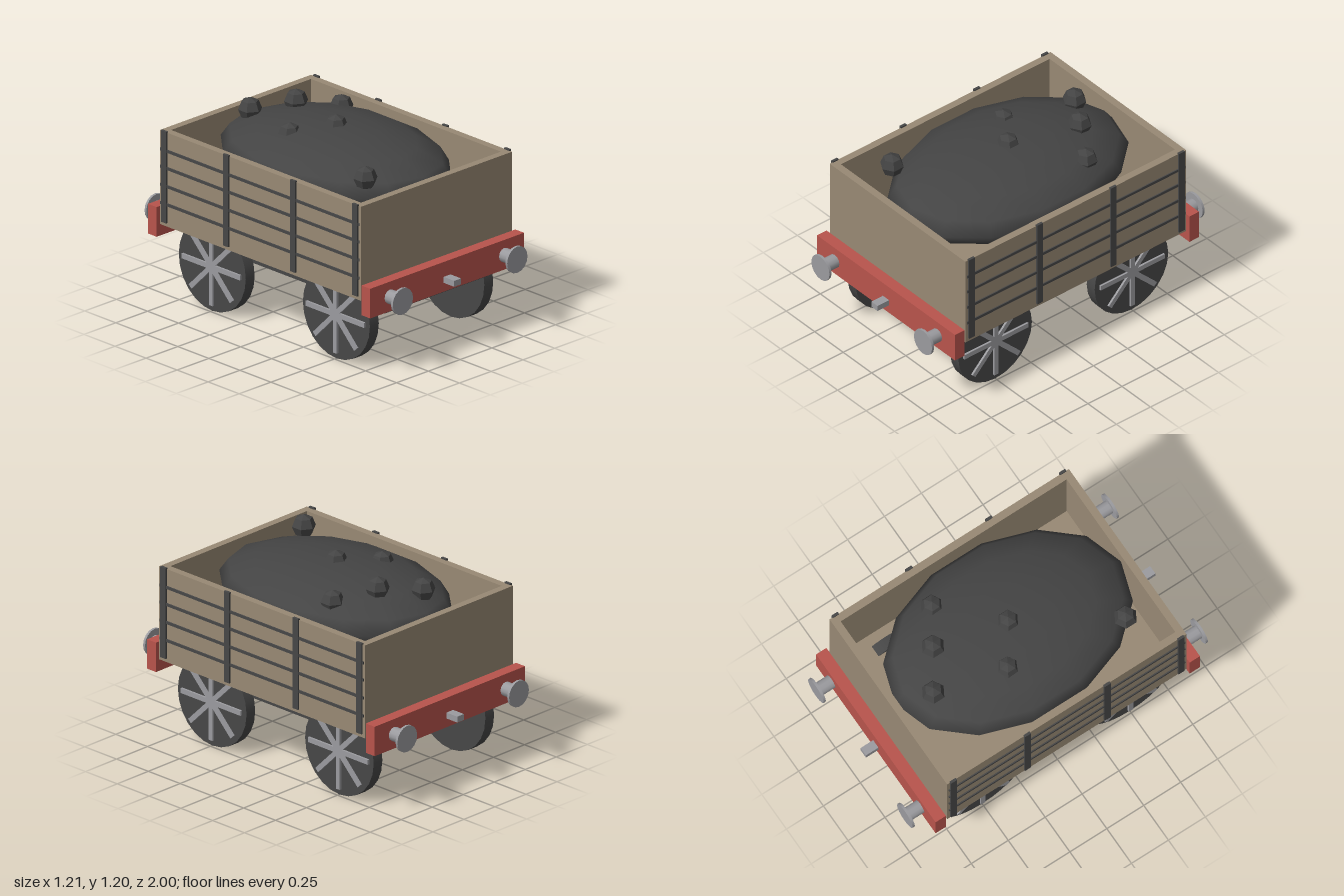
import * as THREE from 'three';

export function createModel() {
  const model = new THREE.Group();
  model.name = 'coalWagon';

  const mat = (name, color, extra = {}) =>
    Object.assign(new THREE.MeshStandardMaterial({ color, ...extra }), { name });
  const wood = mat('wood', 0x988974);
  const red = mat('redPaint', 0xb8544c);
  const iron = mat('darkIron', 0x474747);
  const steel = mat('greySteel', 0x9b9b9f);
  const coal = mat('coal', 0x444444);
  const lumpCoal = mat('coalLumps', 0x444444, { flatShading: true });

  const add = (name, geometry, material, x = 0, y = 0, z = 0, parent = model) => {
    const mesh = new THREE.Mesh(geometry, material);
    mesh.name = name;
    mesh.position.set(x, y, z);
    parent.add(mesh);
    return mesh;
  };
  const box = (name, material, w, h, d, x, y, z, parent) =>
    add(name, new THREE.BoxGeometry(w, h, d), material, x, y, z, parent);
  const sides = [-1, 1];

  // Open wooden body
  box('floor', wood, 1.19, 0.05, 1.62, 0, 0.495, 0);
  for (const s of sides) {
    box('sideWall', wood, 0.045, 0.52, 1.62, s * 0.5725, 0.78, 0);
    box('endWall', wood, 1.1, 0.52, 0.045, 0, 0.78, s * 0.7875);
  }

  // Iron straps and plank joints on both sides
  for (const s of sides) {
    for (const z of [-0.77, -0.27, 0.27, 0.77])
      box('strap', iron, 0.016, 0.555, 0.042, s * 0.598, 0.77, z);
    for (const y of [0.605, 0.715, 0.825, 0.93])
      box('plankJoint', iron, 0.01, 0.017, 1.6, s * 0.597, y, 0);
  }

  // Underframe
  box('chassis', iron, 0.81, 0.13, 1.62, 0, 0.405, 0);

  // End beams with buffers and couplings
  for (const s of sides) {
    box('endBeam', red, 1.21, 0.18, 0.07, 0, 0.48, s * 0.86);
    box('coupling', steel, 0.054, 0.036, 0.09, 0, 0.462, s * 0.935);
    for (const x of [-0.45, 0.45]) {
      const shaft = new THREE.CylinderGeometry(0.042, 0.042, 0.1, 12).rotateX(Math.PI / 2);
      const head = new THREE.CylinderGeometry(0.08, 0.08, 0.015, 16).rotateX(Math.PI / 2);
      add('bufferShaft', shaft, steel, x, 0.48, s * 0.94);
      add('bufferHead', head, steel, x, 0.48, s * 0.9925);
    }
  }

  // Wheelsets: axle, two solid discs, raised spokes on the outer faces
  for (const z of [-0.5, 0.5]) {
    const wheelset = new THREE.Group();
    wheelset.name = 'wheelset';
    wheelset.position.set(0, 0.271, z);
    model.add(wheelset);
    add('axle', new THREE.CylinderGeometry(0.035, 0.035, 0.99, 8).rotateZ(Math.PI / 2),
      steel, 0, 0, 0, wheelset);
    for (const s of sides) {
      add('wheel', new THREE.CylinderGeometry(0.27, 0.27, 0.07, 24).rotateZ(Math.PI / 2),
        iron, s * 0.45, 0, 0, wheelset);
      for (let i = 0; i < 4; i++) {
        const spoke = box('spokePair', steel, 0.02, 0.47, 0.03, s * 0.488, 0, 0, wheelset);
        spoke.rotation.x = i * Math.PI / 4;
      }
    }
  }

  // Heaped load: a squashed smooth mound
  const mound = new THREE.SphereGeometry(1, 14, 8, Math.PI / 2);
  add('coalHeap', mound, coal, 0, 0.945, 0).scale.set(0.54, 0.205, 0.765);

  // Loose faceted lumps on the heap
  const lumps = [
    [-0.33, 1.075, 0.575], [-0.22, 1.1, -0.15], [-0.11, 1.1, -0.58],
    [0, 1.13, 0], [0.11, 1.13, -0.435], [0.33, 1.075, -0.295],
  ];
  for (const [x, y, z] of lumps)
    add('coalLump', new THREE.SphereGeometry(0.07, 6, 4, Math.PI / 2), lumpCoal, x, y, z);

  return model;
}
